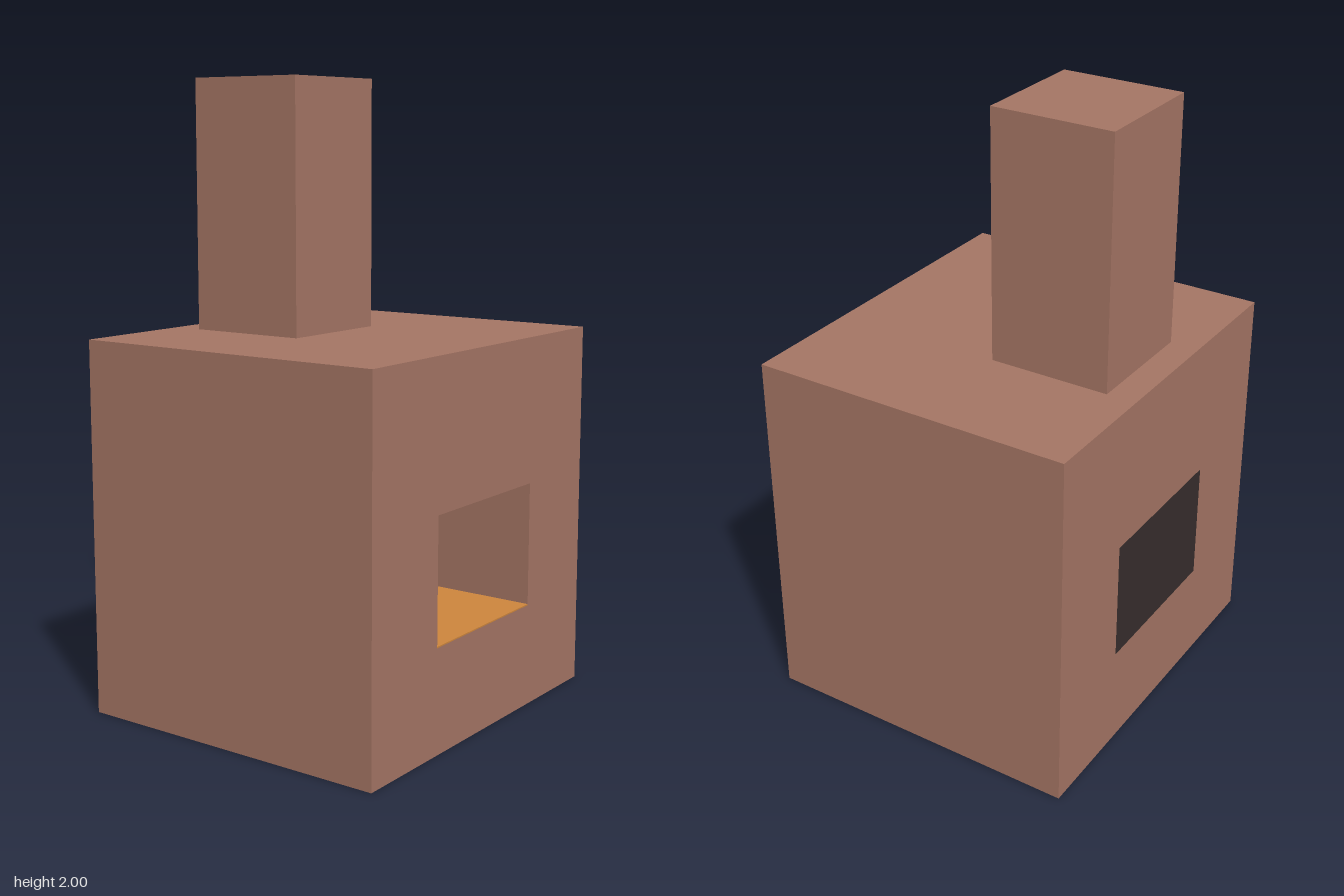
import * as THREE from 'three';

const material = (name, color) => {
  const m = new THREE.MeshStandardMaterial({ color });
  m.name = name;
  return m;
};

export function createModel() {
  const brick = material('brick', 0xa67665);
  const soot = material('soot', 0x372e2e);
  const ember = material('ember', 0xcf873d);

  const group = new THREE.Group();
  group.name = 'furnace';
  const add = (name, geometry, mat, x, y, z) => {
    const mesh = new THREE.Mesh(geometry, mat);
    mesh.name = name;
    mesh.position.set(x, y, z);
    group.add(mesh);
  };

  const W = 1.2, H = 1.2, D = 1.067;             // body
  const w = 0.533, h = 0.4, sill = 0.333;        // fire opening
  const coreDepth = 0.4;                         // block behind the chamber

  // Rectangle standing on y0, centred on x = 0
  const rect = (shape, width, y0, height) => {
    shape.moveTo(-width / 2, y0);
    shape.lineTo(width / 2, y0);
    shape.lineTo(width / 2, y0 + height);
    shape.lineTo(-width / 2, y0 + height);
    shape.closePath();
    return shape;
  };

  // Body with the opening running front to back
  const outline = rect(new THREE.Shape(), W, 0, H);
  outline.holes.push(rect(new THREE.Path(), w, sill, h));
  add('body', new THREE.ExtrudeGeometry(outline, { depth: D, bevelEnabled: false }), brick, 0, 0, -D / 2);

  // Dark core closing the rear of the chamber, flush with the back
  add('chamberBack', new THREE.BoxGeometry(w, h, coreDepth), soot, 0, sill + h / 2, -D / 2 + coreDepth / 2);

  // Glowing chamber floor
  const floorDepth = D - coreDepth;
  add('emberBed', new THREE.BoxGeometry(w, 0.004, floorDepth), ember, 0, sill + 0.002, D / 2 - floorDepth / 2);

  // Chimney
  add('chimney', new THREE.BoxGeometry(0.4, 0.8, 0.4), brick, 0, 1.6, -0.237);

  return group;
}
